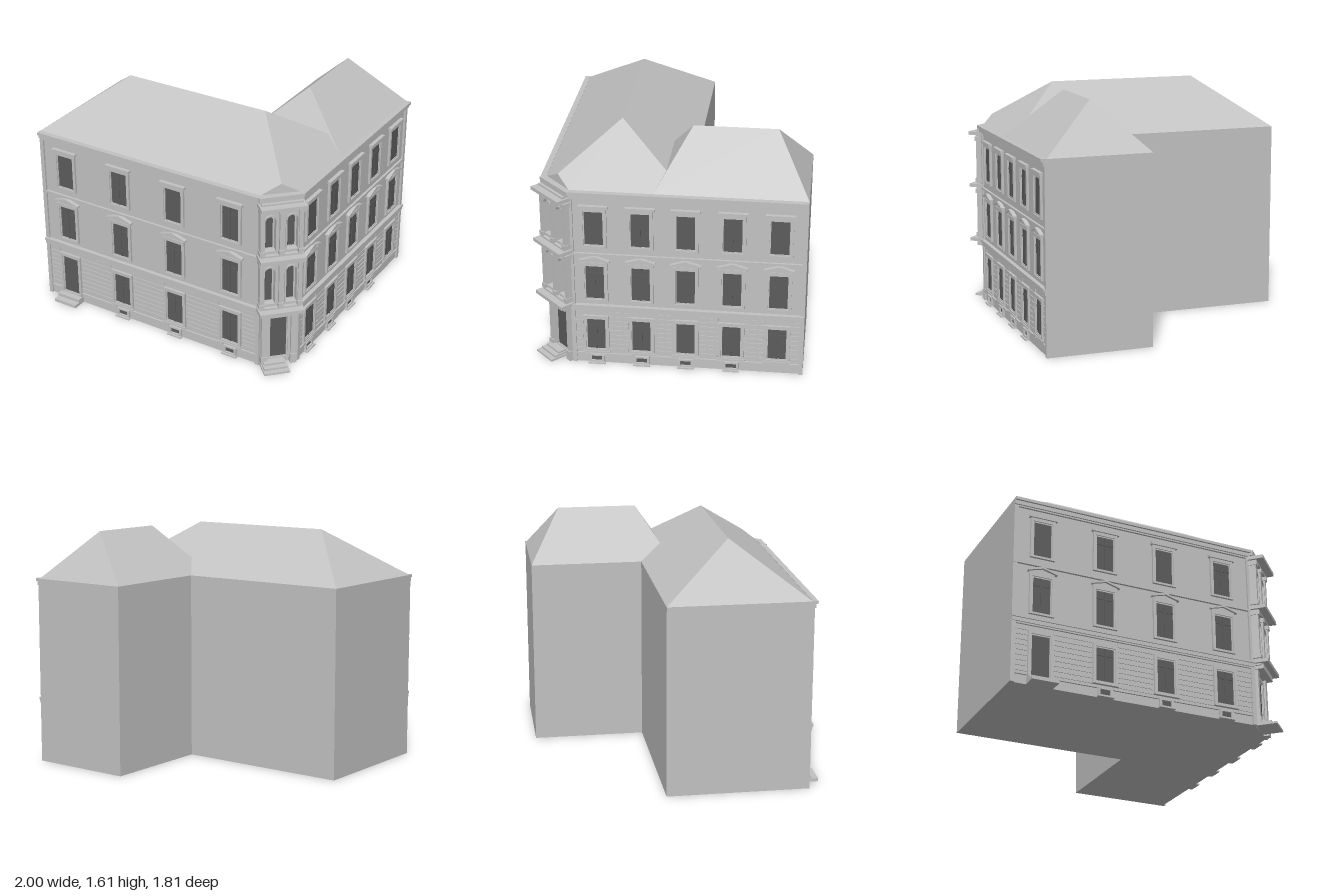
import * as THREE from 'three';

const stone = new THREE.MeshStandardMaterial({ color: 0xc2c2c2 });
stone.name = 'stone';
const glass = new THREE.MeshStandardMaterial({ color: 0x5c5c5c });
glass.name = 'dark glass';

const COLS_FRONT = [-0.8, -0.36, 0.07, 0.505];
const COLS_SIDE = [-0.467, -0.165, 0.13, 0.433, 0.735];

function add(group, name, geometry, material = stone) {
  const mesh = new THREE.Mesh(geometry, material);
  mesh.name = name;
  group.add(mesh);
  return mesh;
}

// Box between two x, two y and two z limits
function box(group, name, x0, x1, y0, y1, z0, z1, material) {
  const g = new THREE.BoxGeometry(x1 - x0, y1 - y0, z1 - z0);
  g.translate((x0 + x1) / 2, (y0 + y1) / 2, (z0 + z1) / 2);
  return add(group, name, g, material);
}

const shapeOf = (pts) => new THREE.Shape(pts.map(([x, y]) => new THREE.Vector2(x, y)));
const rect = (x, w, y0, y1) => [[x - w / 2, y0], [x + w / 2, y0], [x + w / 2, y1], [x - w / 2, y1]];
const extrude = (shape, depth) => new THREE.ExtrudeGeometry(shape, { depth, bevelEnabled: false, curveSegments: 8 });

// Flat-sided surface from a few polygons, corners counter-clockwise
function polygons(faces) {
  const pos = [];
  for (const f of faces)
    for (let i = 1; i < f.length - 1; i++) pos.push(...f[0], ...f[i], ...f[i + 1]);
  const g = new THREE.BufferGeometry();
  g.setAttribute('position', new THREE.Float32BufferAttribute(pos, 3));
  g.computeVertexNormals();
  return g;
}

// Moulded frame around a dark pane, with optional glazing bars
function framedOpening(group, name, x, y0, y1, bars, w = 0.17) {
  const frame = shapeOf(rect(x, w, y0, y1));
  frame.holes.push(shapeOf(rect(x, w - 0.035, y0 + 0.012, y1 - 0.022)));
  add(group, name + 'Frame', extrude(frame, 0.016));
  const step = shapeOf(rect(x, w - 0.034, y0 + 0.012, y1 - 0.022));
  step.holes.push(shapeOf(rect(x, w - 0.05, y0 + 0.018, y1 - 0.03)));
  add(group, name + 'InnerFrame', extrude(step, 0.009));
  box(group, name + 'Pane', x - w / 2 + 0.02, x + w / 2 - 0.02, y0 + 0.014, y1 - 0.024, 0, 0.003, glass);
  if (bars) {
    const h = y1 - y0, bar = y0 + h * 0.7;
    box(group, name + 'Mullion', x - 0.005, x + 0.005, y0 + 0.018, y1 - 0.03, 0.002, 0.007, glass);
    box(group, name + 'Transom', x - w / 2 + 0.025, x + w / 2 - 0.025, bar, bar + 0.01, 0.002, 0.007, glass);
  }
}

function pediment(group, x) {
  const s = shapeOf([[-0.1, 0.775], [0, 0.803], [0.1, 0.775], [0.1, 0.787], [0, 0.817], [-0.1, 0.787]]);
  add(group, 'pediment', extrude(s, 0.028).translate(x, 0, 0));
  const t = shapeOf([[-0.085, 0.768], [0.085, 0.768], [0.085, 0.78], [0, 0.804], [-0.085, 0.78]]);
  add(group, 'pedimentPanel', extrude(t, 0.012).translate(x, 0, 0));
}

// Street facade in its own plane: x along the wall, z outward
function facade(name, x0, x1, cols, doorCol, cellars, plainTop) {
  const g = new THREE.Group();
  g.name = name;

  // Horizontal mouldings
  for (const [y0, y1, d] of [[0.4, 0.41, 0.012], [0.41, 0.435, 0.02], [0.435, 0.452, 0.028],
    [0.82, 0.835, 0.016], [1.225, 1.235, 0.014], [1.235, 1.262, 0.024], [1.262, 1.282, 0.037]])
    box(g, 'moulding', x0, x1, y0, y1, 0, d);

  // Corner strips
  for (const x of [x0, x1 - 0.028]) box(g, 'cornerStrip', x, x + 0.028, 0, 1.225, 0, 0.014);

  cols.forEach((x, i) => {
    const door = i === doorCol;
    framedOpening(g, 'upperWindow', x, 0.88, 1.165, !plainTop.includes(i));
    box(g, 'upperLintel', x - 0.096, x + 0.096, 1.165, 1.182, 0, 0.026);
    framedOpening(g, 'middleWindow', x, 0.48, 0.768, true);
    pediment(g, x);
    framedOpening(g, door ? 'sideDoor' : 'groundWindow', x, door ? 0.04 : 0.093, 0.366, !door);
    if (!door) box(g, 'groundSill', x - 0.09, x + 0.09, 0.085, 0.095, 0, 0.022);
    else {
      box(g, 'doorStep', x - 0.09, x + 0.09, 0, 0.022, 0, 0.1);
      box(g, 'doorStep', x - 0.09, x + 0.09, 0.022, 0.045, 0, 0.055);
    }
    if (cellars.includes(i)) {
      const s = shapeOf(rect(x, 0.1, 0.008, 0.066));
      s.holes.push(shapeOf(rect(x, 0.07, 0.018, 0.054)));
      add(g, 'cellarFrame', extrude(s, 0.016));
      box(g, 'cellarPane', x - 0.038, x + 0.038, 0.016, 0.056, 0, 0.003, glass);
      box(g, 'cellarSill', x - 0.056, x + 0.056, 0, 0.01, 0, 0.03);
    }
  });

  // Piers between the openings: plinth cap and rusticated courses
  for (let i = 0; i <= cols.length; i++) {
    const a = i ? cols[i - 1] : x0 - 0.06, b = i < cols.length ? cols[i] : x1 + 0.06;
    box(g, 'plinthCap', a + (cellars.includes(i - 1) ? 0.055 : 0.088), b - (cellars.includes(i) ? 0.055 : 0.088),
      0.06, 0.075, 0, 0.012);
    for (let k = 0; k < 9; k++) {
      const y = 0.085 + k * 0.035;
      box(g, 'rusticCourse', a + 0.088, b - 0.088, y, y + 0.029, 0, 0.005);
    }
  }
  return g;
}

function archShape(x, w, y0, y1) {
  const r = w / 2, s = new THREE.Shape();
  s.moveTo(x - r, y0);
  s.lineTo(x + r, y0);
  s.lineTo(x + r, y1 - r);
  s.absarc(x, y1 - r, r, 0, Math.PI, false);
  s.closePath();
  return s;
}

// Cut-off street corner with the entrance and a two-storey bay
function cornerBay() {
  const g = new THREE.Group();
  g.name = 'cornerBay';

  // Entrance
  framedOpening(g, 'entrance', 0, 0.035, 0.385, false, 0.16);
  for (const s of [-1, 1]) {
    box(g, 'entrancePilaster', s * 0.1 - 0.018, s * 0.1 + 0.018, 0, 0.4, 0, 0.03);
    box(g, 'entrancePlinth', s * 0.1 - 0.022, s * 0.1 + 0.022, 0, 0.07, 0, 0.038);
  }
  [0.14, 0.105, 0.07].forEach((d, i) =>
    box(g, 'entranceStep', -0.125 + i * 0.008, 0.05 - i * 0.008, i * 0.014, (i + 1) * 0.014, 0, d));

  // Supporting bracket and floor slabs
  box(g, 'bayBracket', -0.125, 0.125, 0.4, 0.435, 0, 0.07);
  for (const y of [0.435, 0.832, 1.21]) {
    box(g, 'baySlab', -0.15, 0.15, y, y + 0.024, -0.01, 0.11);
    box(g, 'baySlabTrim', -0.135, 0.135, y - 0.012, y + 0.036, 0, 0.06);
  }
  box(g, 'bayCornice', -0.145, 0.145, 1.246, 1.282, -0.01, 0.04);

  // Storeys with paired arches between pilasters
  for (const [y0, y1] of [[0.471, 0.82], [0.868, 1.198]]) {
    const wall = shapeOf(rect(0, 0.25, y0, y1));
    for (const x of [-0.072, 0.072]) {
      wall.holes.push(archShape(x, 0.076, y0 + 0.025, y1 - 0.05));
      add(g, 'archPane', extrude(archShape(x, 0.046, y0 + 0.035, y1 - 0.072), 0.006), glass);
      const rim = archShape(x, 0.088, y0 + 0.019, y1 - 0.044);
      rim.holes.push(archShape(x, 0.07, y0 + 0.025, y1 - 0.053));
      add(g, 'archRim', extrude(rim, 0.046));
    }
    add(g, 'bayWall', extrude(wall, 0.036));
    for (const x of [-0.128, 0, 0.128]) {
      box(g, 'bayPilaster', x - 0.013, x + 0.013, y0, y1, 0, 0.055);
      box(g, 'pilasterBase', x - 0.018, x + 0.018, y0, y0 + 0.03, 0, 0.063);
      box(g, 'pilasterCapital', x - 0.018, x + 0.018, y1 - 0.03, y1, 0, 0.063);
    }
  }
  g.position.set(0.815, 0, 0.71);
  g.rotation.y = Math.PI / 4;
  return g;
}

export function createModel() {
  const model = new THREE.Group();
  model.name = 'cornerHouse';

  // L-shaped body with a cut corner
  const plan = shapeOf([[-1, -0.8], [0.72, -0.8], [0.91, -0.62], [0.91, 0.91], [0.2, 0.91], [0.2, 0.14], [-1, 0.14]]);
  add(model, 'walls', extrude(plan, 1.28).rotateX(-Math.PI / 2));

  // Hipped roof of the main wing
  const e = 1.28, t = 1.61;
  const A = [-1, e, 0.8], B = [0.72, e, 0.8], C = [0.91, e, 0.62], D = [0.91, e, -0.14], E = [-1, e, -0.14];
  const T = [0.818, 1.348, 0.705], L = [-0.57, t, 0.33], R = [0.48, t, 0.33];
  add(model, 'mainRoof', polygons([[A, B, T, R, L], [C, D, R, T], [D, E, L, R], [E, A, L], [B, C, T]]));

  // Hipped roof of the side wing
  const F = [0.2, e, 0.08], G = [0.91, e, 0.08], H = [0.91, e, -0.91], I = [0.2, e, -0.91];
  const P = [0.55, t, -0.14], Q = [0.55, t, -0.69];
  add(model, 'wingRoof', polygons([[F, G, P], [G, H, Q, P], [H, I, Q], [I, F, P, Q]]));

  // Street fronts
  const front = facade('frontFacade', -1, 0.73, COLS_FRONT, 0, [1, 2, 3], [0, 2]);
  front.position.z = 0.8;
  const side = facade('sideFacade', -0.63, 0.91, COLS_SIDE, -1, [0, 1, 2, 3], [0, 4]);
  side.position.x = 0.91;
  side.rotation.y = Math.PI / 2;
  model.add(front, side, cornerBay());
  return model;
}
